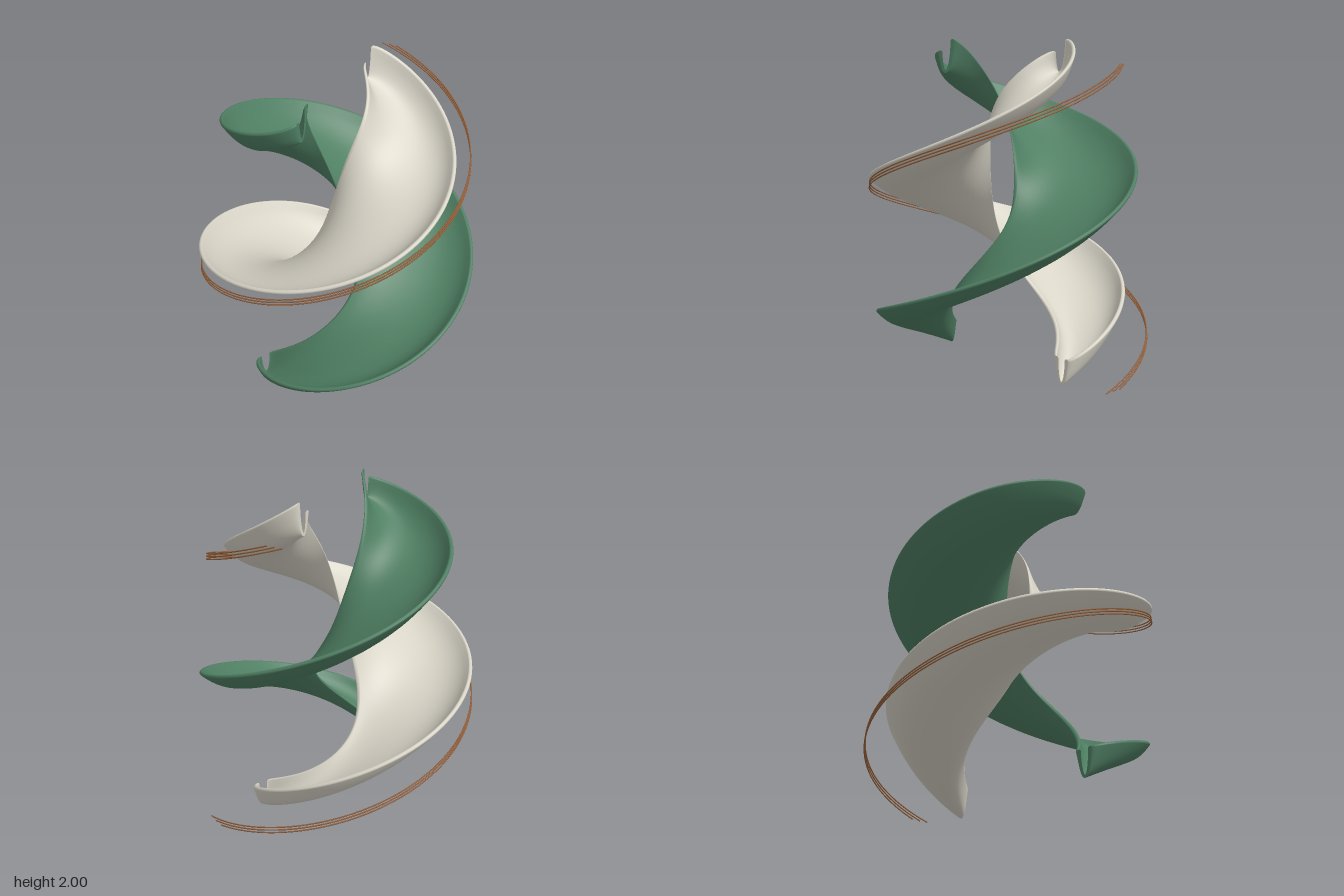
import * as THREE from 'three';

const TURN = THREE.MathUtils.degToRad(387.5);
const STEPS = 160, ACROSS = 26, CAP = 6;
const HALF_THICK = 0.009, LIP = 0.013, SAG = 0.145;

// Closed outline (radius, height) of the channel at t, counter-clockwise
function section(t, tilt) {
  const centre = THREE.MathUtils.lerp(0.545, 0.37, t);
  const half = 0.04 + 0.325 * Math.pow(Math.max(0, Math.sin(Math.PI * t)), 0.6);
  const chord = THREE.MathUtils.lerp(0.155, 1.955, t);
  const mid = s => {
    const bow = 0.5 * s * s + 0.5 * s ** 4;
    return new THREE.Vector2(centre + half * s, chord - SAG * (1 - bow) + tilt * s);
  };
  const frame = s => {
    const slope = SAG * (s + 2 * s ** 3) + tilt;
    return Math.atan2(slope, half);
  };
  const thick = s => HALF_THICK + (LIP - HALF_THICK) * Math.pow(Math.abs(s), 12);
  const put = (s, angle) => {
    const a = frame(s) + angle, h = thick(s), p = mid(s);
    return new THREE.Vector2(p.x + h * Math.cos(a), p.y + h * Math.sin(a));
  };
  const pts = [];
  const q = Math.PI / 2;
  for (let i = 0; i <= ACROSS; i++) pts.push(put(-1 + 2 * i / ACROSS, -q)); // underside
  for (let i = 1; i < CAP; i++) pts.push(put(1, -q + Math.PI * i / CAP)); // outer lip
  for (let i = 0; i <= ACROSS; i++) pts.push(put(1 - 2 * i / ACROSS, q)); // top side
  for (let i = 1; i < CAP; i++) pts.push(put(-1, q + Math.PI * i / CAP)); // inner lip
  return pts;
}

// Channel section swept round the axis, narrow at both ends
function ribbonGeometry(phase, tiltSign) {
  const pos = [], index = [];
  let n = 0;
  const addRing = (pts, theta) => {
    for (const p of pts) pos.push(p.x * Math.cos(theta), p.y, -p.x * Math.sin(theta));
  };
  const ringAt = i => {
    const t = (1 - Math.cos(Math.PI * i / STEPS)) / 2;
    const theta = t * TURN;
    return { pts: section(t, tiltSign * 0.075 * Math.sin(theta)), theta: theta + phase };
  };
  for (let i = 0; i <= STEPS; i++) {
    const { pts, theta } = ringAt(i);
    n = pts.length;
    addRing(pts, theta);
  }
  for (let i = 0; i < STEPS; i++) {
    for (let j = 0; j < n; j++) {
      const k = (j + 1) % n;
      const a = i * n + j, b = i * n + k, c = a + n, d = b + n;
      index.push(a, c, b, b, c, d);
    }
  }
  // End caps with their own vertices, so the rims stay crisp
  for (const i of [0, STEPS]) {
    const { pts, theta } = ringAt(i);
    const base = pos.length / 3;
    addRing(pts, theta);
    for (const [a, b, c] of THREE.ShapeUtils.triangulateShape(pts, [])) {
      if (i === 0) index.push(base + a, base + b, base + c);
      else index.push(base + a, base + c, base + b);
    }
  }
  const g = new THREE.BufferGeometry();
  g.setAttribute('position', new THREE.Float32BufferAttribute(pos, 3));
  g.setIndex(index);
  g.computeVertexNormals();
  return g;
}

// Tapering helix for the thin wires
class WireCurve extends THREE.Curve {
  constructor(phase) {
    super();
    this.phase = phase;
  }
  getPoint(t, target = new THREE.Vector3()) {
    const a = this.phase + t * TURN;
    const r = THREE.MathUtils.lerp(0.91, 0.73, t);
    return target.set(r * Math.cos(a), THREE.MathUtils.lerp(0.05, 1.86, t), -r * Math.sin(a));
  }
}

export function createModel() {
  const green = new THREE.MeshStandardMaterial({ color: 0x4f7f63 });
  green.name = 'green';
  const ivory = new THREE.MeshStandardMaterial({ color: 0xd8d4c7 });
  ivory.name = 'ivory';
  const copper = new THREE.MeshStandardMaterial({ color: 0x96603a });
  copper.name = 'copper';

  const model = new THREE.Group();
  model.name = 'doubleSpiral';
  const spiral = new THREE.Group();
  spiral.name = 'spiral';
  spiral.position.set(-0.04, 0, 0.03);
  model.add(spiral);

  const add = (name, geometry, material) => {
    const mesh = new THREE.Mesh(geometry, material);
    mesh.name = name;
    spiral.add(mesh);
  };

  // Two interlocked ribbons, half a turn apart
  add('ivoryRibbon', ribbonGeometry(0, 1), ivory);
  add('greenRibbon', ribbonGeometry(Math.PI, -1), green);

  // Three parallel wires
  for (let i = 0; i < 3; i++) {
    const curve = new WireCurve(THREE.MathUtils.degToRad(i * 3.6));
    add('wire' + (i + 1), new THREE.TubeGeometry(curve, 180, 0.004, 6, false), copper);
  }
  return model;
}
